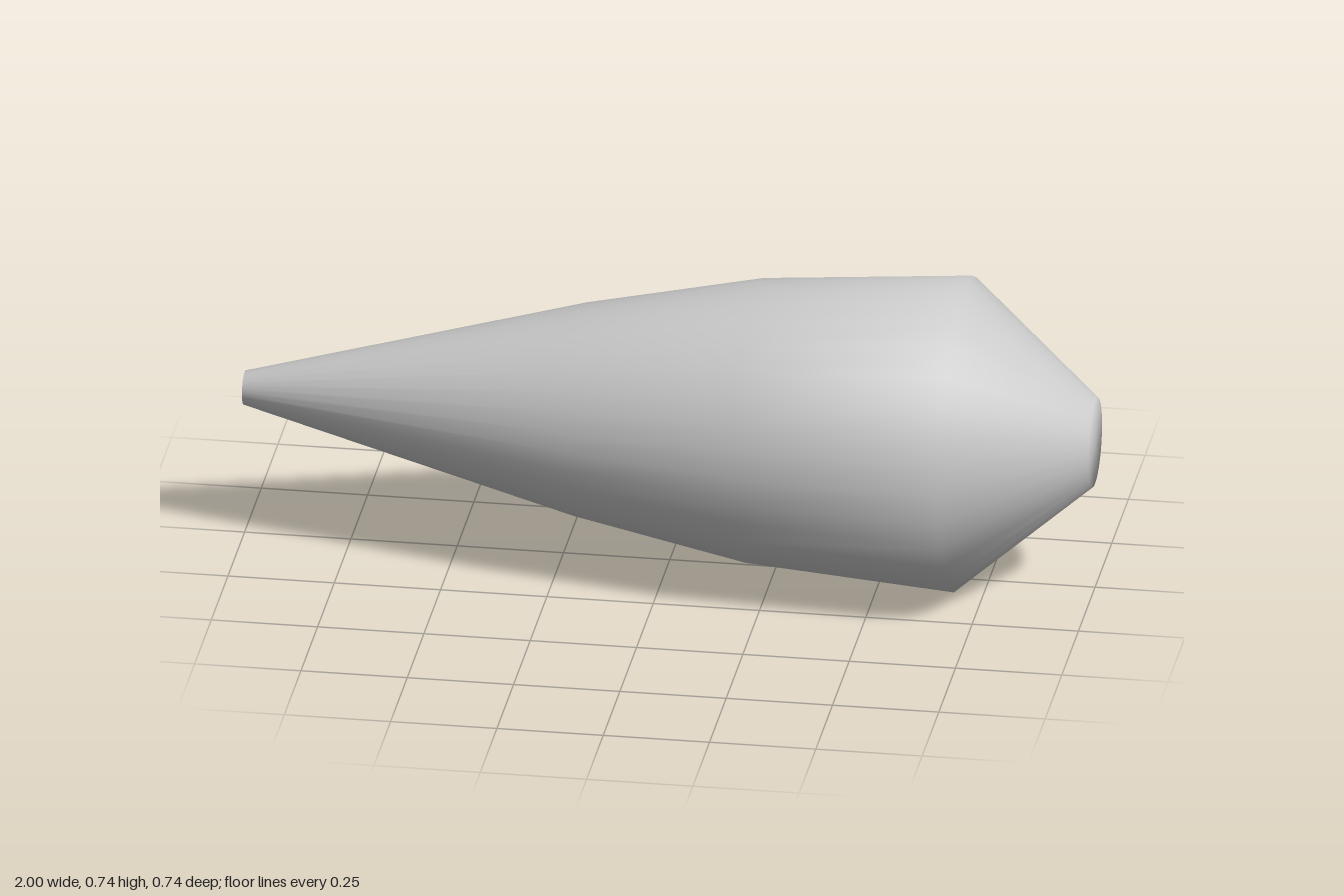
import * as THREE from 'three';

export function createModel() {
  const group = new THREE.Group();
  group.name = 'taperedBody';

  // Closed profile: [position along x, radius], from the narrow tip to the blunt end
  const profile = [
    [-1, 0], [-1, 0.04], [-0.21, 0.249], [0.2, 0.332], [0.69, 0.369], [1, 0.105], [1, 0],
  ].map(([x, r]) => new THREE.Vector2(r, x));

  // Smooth 32-sided turned body, laid along the x axis
  const geometry = new THREE.LatheGeometry(profile, 32);
  geometry.rotateZ(-Math.PI / 2);
  geometry.translate(0, 0.37, 0);

  const body = new THREE.Mesh(geometry, new THREE.MeshStandardMaterial({ color: 0xcccccc }));
  body.name = 'body';
  group.add(body);
  return group;
}
